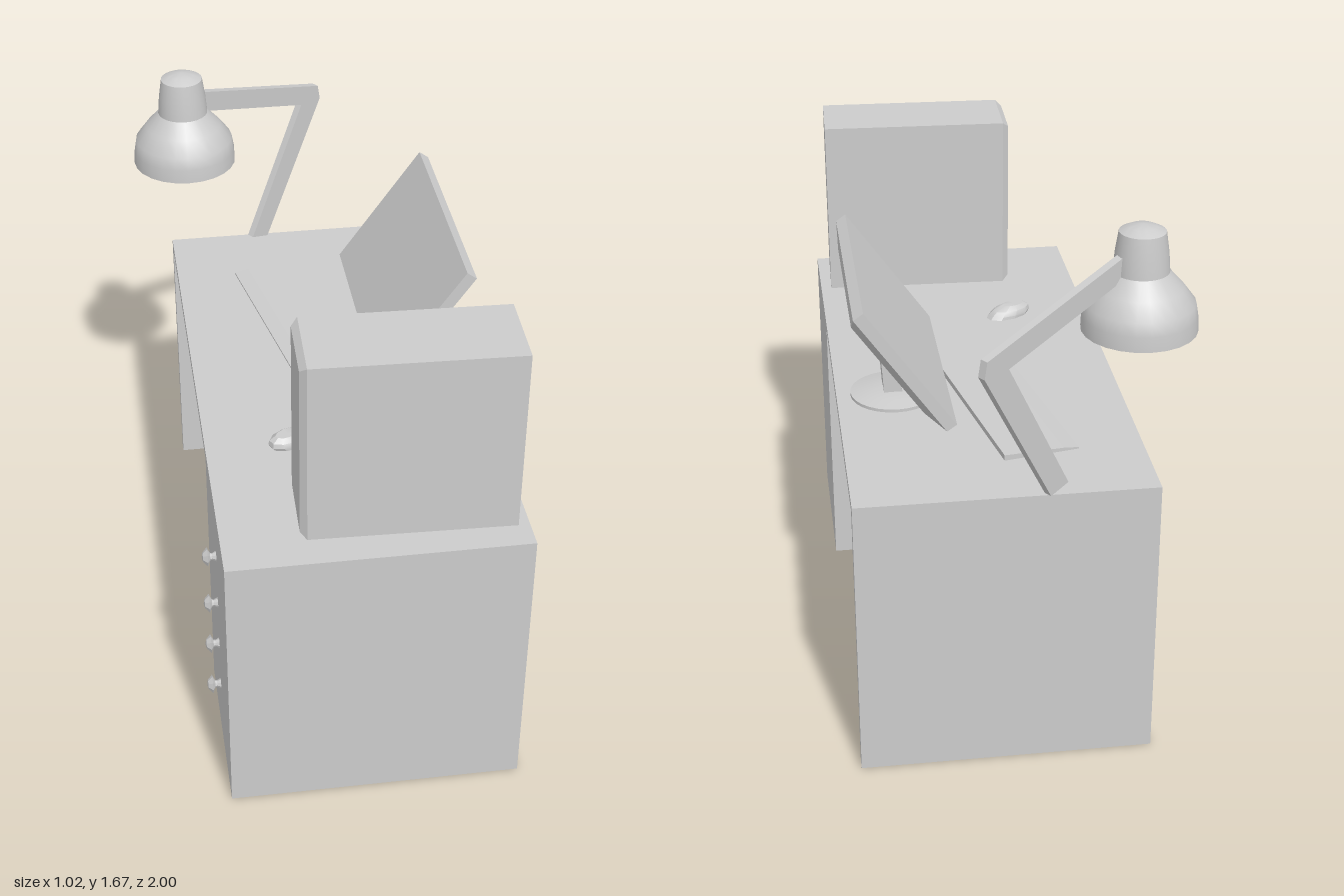
import * as THREE from 'three';
import { toCreasedNormals } from 'three/addons/utils/BufferGeometryUtils.js';

const grey = new THREE.MeshStandardMaterial({ color: 0xcccccc });
const greyOpen = new THREE.MeshStandardMaterial({ color: 0xcccccc, side: THREE.DoubleSide });
const v2 = (pts) => pts.map(([x, y]) => new THREE.Vector2(x, y));

function add(parent, name, geo, pos = [0, 0, 0], mat = grey) {
  const mesh = new THREE.Mesh(geo, mat);
  mesh.name = name;
  mesh.position.set(...pos);
  parent.add(mesh);
  return mesh;
}

// Box given by its limits
function block(parent, name, [x0, x1], [y0, y1], [z0, z1]) {
  return add(parent, name, new THREE.BoxGeometry(x1 - x0, y1 - y0, z1 - z0),
    [(x0 + x1) / 2, (y0 + y1) / 2, (z0 + z1) / 2]);
}

// Box from z = 0 to z = d whose far end is inset
function taperedBox(w, h, d, insetX, insetY) {
  const geo = new THREE.BoxGeometry(w, h, d).translate(0, 0, d / 2).toNonIndexed();
  const p = geo.attributes.position;
  for (let i = 0; i < p.count; i++) {
    if (p.getZ(i) < d / 2) continue;
    p.setX(i, p.getX(i) - Math.sign(p.getX(i)) * insetX);
    p.setY(i, p.getY(i) - Math.sign(p.getY(i)) * insetY);
  }
  geo.computeVertexNormals();
  return geo;
}

// Side profile extruded symmetrically about z = 0
function slabOf(pts, depth) {
  return new THREE.ExtrudeGeometry(new THREE.Shape(v2(pts)), { depth, bevelEnabled: false })
    .translate(0, 0, -depth / 2);
}

const turned = (pts, sides, crease = 0.6) =>
  toCreasedNormals(new THREE.LatheGeometry(v2(pts), sides), crease);

function createDesk() {
  const desk = new THREE.Group();
  desk.name = 'desk';
  const x = [-0.39, 0.51];
  block(desk, 'deskTop', x, [0.89, 0.92], [-0.84, 0.43]);
  block(desk, 'sidePanel', x, [0, 0.89], [-0.84, -0.8]);

  // Drawer cabinet, open underneath
  const shell = new THREE.BoxGeometry(0.9, 0.92, 0.57);
  const index = Array.from(shell.index.array);
  index.splice(18, 6);
  shell.setIndex(index);
  shell.clearGroups();
  add(desk, 'drawerCabinet', shell, [0.06, 0.46, 0.715], greyOpen);

  // Drawer knobs
  const knob = turned([[0.016, 0], [0.01, 0.012], [0.012, 0.018], [0.029, 0.026], [0.014, 0.04], [0, 0.043]], 8, 0.3);
  knob.rotateZ(Math.PI / 2);
  for (const y of [0.215, 0.387, 0.553, 0.737]) add(desk, 'drawerKnob', knob, [-0.39, y, 0.713]);
  return desk;
}

function createMonitor() {
  const monitor = new THREE.Group();
  monitor.name = 'monitor';

  // Tilted screen: local +z points out of its back
  const screen = new THREE.Group();
  screen.name = 'screen';
  add(screen, 'screenFrame', new THREE.BoxGeometry(0.786, 0.466, 0.037), [0, 0, 0.0185]);
  add(screen, 'screenBack', taperedBox(0.786, 0.466, 0.037, 0.09, 0.05), [0, 0, 0.037]);
  screen.rotation.set(0.617, Math.PI / 2, 0, 'YXZ');
  screen.position.set(0.305, 1.19, -0.132);
  monitor.add(screen);

  // Stand
  add(monitor, 'standNeck',
    slabOf([[0.3, 0.93], [0.36, 0.93], [0.372, 1.13], [0.34, 1.13]], 0.09), [0, 0, -0.132]);
  add(monitor, 'standBase',
    turned([[0, 0], [0.137, 0], [0.137, 0.01], [0.09, 0.02], [0.045, 0.026], [0, 0.026]], 28),
    [0.328, 0.92, -0.132]);
  return monitor;
}

function createTower() {
  // Local +z is the bevelled front panel, facing the seat
  const tower = new THREE.Group();
  tower.name = 'computerTower';
  add(tower, 'towerCase', new THREE.BoxGeometry(0.26, 0.59, 0.612), [0, 0, -0.01]);
  add(tower, 'towerFront', taperedBox(0.26, 0.59, 0.02, 0.018, 0.018), [0, 0, 0.296]);
  tower.rotation.y = -(Math.PI / 2 + 0.031);
  tower.position.set(0.157, 1.235, 0.797);
  return tower;
}

function createLamp() {
  const lamp = new THREE.Group();
  lamp.name = 'deskLamp';

  // Bent arm, drawn in its own vertical plane
  const arm = add(lamp, 'lampArm', slabOf([
    [0.33, 0.94], [0.26, 0.92], [0, 1.38], [0.01, 1.43],
    [0.57, 1.593], [0.57, 1.523], [0.09, 1.383]], 0.026), [0.157, 0, -0.987]);
  arm.rotation.y = Math.atan2(-0.58, -0.815);

  // Open shade
  add(lamp, 'lampShade', turned([
    [0.17, 0], [0.168, 0.045], [0.161, 0.085], [0.125, 0.133], [0.082, 0.18],
    [0.077, 0.24], [0.068, 0.3], [0.04, 0.314], [0, 0.322]], 24),
    [-0.345, 1.345, -0.65], greyOpen);
  return lamp;
}

function createKeyboard() {
  const geo = slabOf([[-0.118, 0], [0.118, 0], [0.118, 0.018], [-0.07, 0.011], [-0.118, 0.005]], 0.652);
  const keyboard = new THREE.Mesh(geo, grey);
  keyboard.name = 'keyboard';
  keyboard.position.set(-0.013, 0.92, -0.279);
  keyboard.rotation.y = 0.193;
  return keyboard;
}

function createMouse() {
  // Low dome, stretched and leaning towards the palm end
  const geo = new THREE.LatheGeometry(v2([[1, 0], [1, 0.01], [0.85, 0.024], [0.5, 0.037], [0, 0.037]]), 10);
  geo.scale(0.08, 1, 0.045);
  const p = geo.attributes.position;
  for (let i = 0; i < p.count; i++) p.setX(i, p.getX(i) - 0.6 * p.getY(i));
  const mouse = new THREE.Mesh(toCreasedNormals(geo, 0.5), grey);
  mouse.name = 'mouse';
  mouse.position.set(-0.117, 0.92, 0.415);
  mouse.rotation.y = 0.45;
  return mouse;
}

export function createModel() {
  const model = new THREE.Group();
  model.name = 'computerDesk';
  model.add(createDesk(), createMonitor(), createTower(), createLamp(), createKeyboard(), createMouse());
  return model;
}
